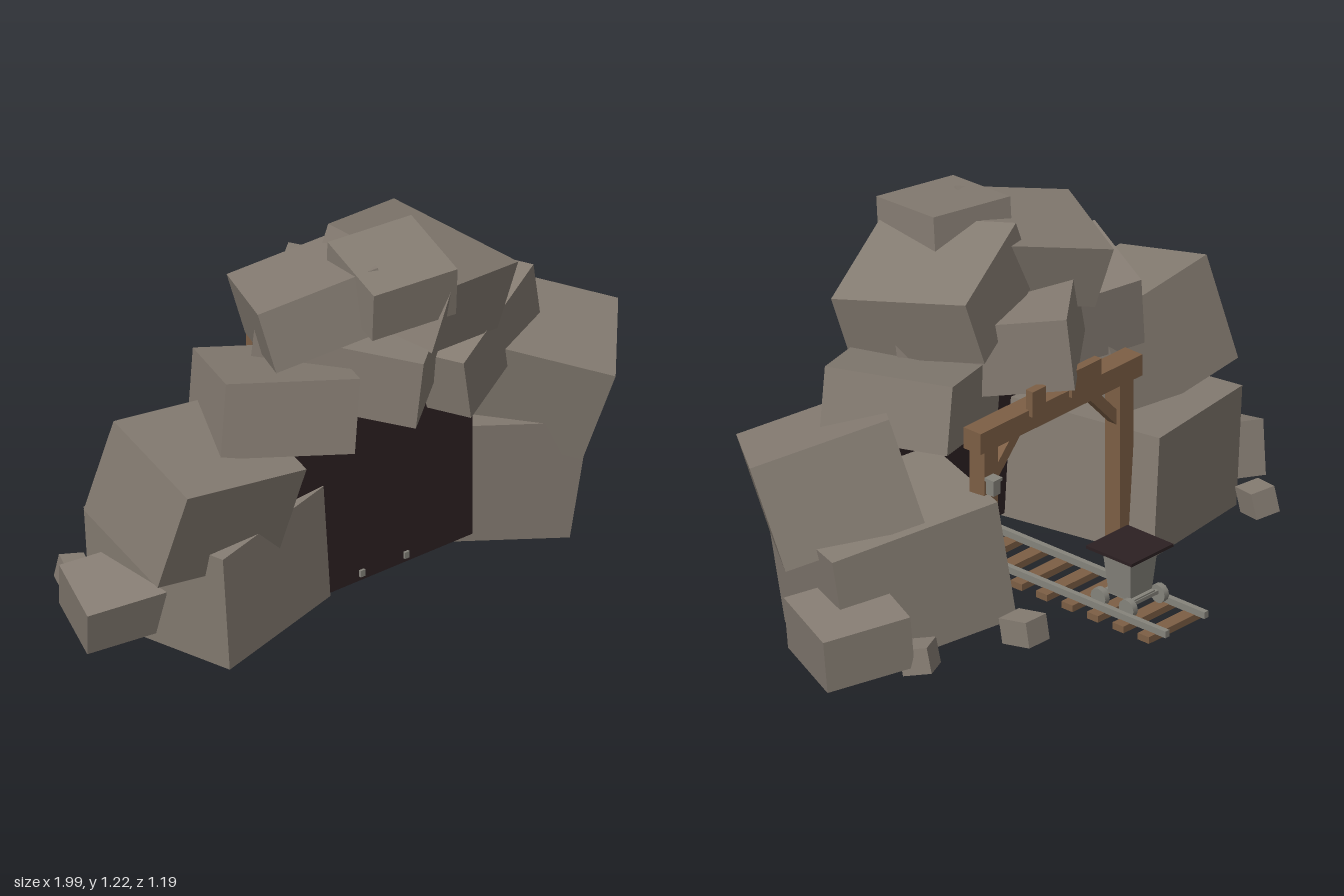
import * as THREE from 'three';

const flat = (name, color) => {
  const m = new THREE.MeshStandardMaterial({ color });
  m.name = name;
  return m;
};

export function createModel() {
  const model = new THREE.Group();
  model.name = 'mineEntrance';
  const stone = flat('stone', 0x857c72);
  const wood = flat('wood', 0x7d5f45);
  const metal = flat('metal', 0x85837b);
  const dark = flat('darkness', 0x2c2022);

  const add = (parent, name, geometry, material, x = 0, y = 0, z = 0) => {
    const mesh = new THREE.Mesh(geometry, material);
    mesh.name = name;
    mesh.position.set(x, y, z);
    parent.add(mesh);
    return mesh;
  };
  const box = (parent, name, material, w, h, d, x, y, z) =>
    add(parent, name, new THREE.BoxGeometry(w, h, d), material, x, y, z);
  const group = (name) => {
    const g = new THREE.Group();
    g.name = name;
    model.add(g);
    return g;
  };

  // Tilted boulder: centre and its three edge vectors
  const rocks = group('rocks');
  const rock = (name, centre, a, b, c) => {
    const [ea, eb, ec] = [a, b, c].map((v) => new THREE.Vector3(...v));
    const mesh = box(rocks, name, stone, ea.length(), eb.length(), ec.length(), ...centre);
    const x = ea.clone().normalize();
    const y = eb.clone().addScaledVector(x, -eb.dot(x)).normalize();
    const z = new THREE.Vector3().crossVectors(x, y);
    mesh.quaternion.setFromRotationMatrix(new THREE.Matrix4().makeBasis(x, y, z));
  };

  // Side walls of the cave
  rock('lowerRightRock', [-0.52, 0.25, 0.14], [0.475, 0.035, -0.1], [-0.02, 0.39, 0], [-0.1, -0.03, -0.52]);
  rock('upperRightRock', [-0.65, 0.555, 0.24], [0.455, -0.06, 0.01], [0.045, 0.33, 0.09], [0.02, 0.1, -0.37]);
  rock('lowerLeftRock', [0.488, 0.25, 0.15], [0.165, 0.015, -0.42], [0.05, 0.395, 0.03], [-0.51, 0.08, -0.21]);
  rock('upperLeftRock', [0.626, 0.54, 0.27], [0.235, 0.065, -0.27], [0.03, 0.32, 0.12], [-0.333, 0.128, -0.26]);

  // Slabs over the opening
  rock('rightShoulderSlab', [-0.362, 0.765, 0.262], [0.385, -0.05, 0.165], [0.025, 0.235, -0.03], [0.126, -0.055, -0.3]);
  rock('leftShoulderSlab', [0.335, 0.74, 0.21], [0.43, 0.1, -0.19], [-0.04, 0.21, 0.015], [-0.16, -0.01, -0.37]);
  rock('roofSlab', [-0.01, 0.835, 0.205], [-0.395, -0.02, 0.314], [0.01, 0.23, 0.025], [0.285, -0.06, 0.431]);
  rock('upperLeftSlab', [0.172, 1.002, 0.27], [-0.36, 0.1, 0.125], [0.075, 0.21, 0.015], [-0.12, 0.075, -0.43]);
  rock('upperRightSlab', [-0.185, 1.03, 0.225], [0.35, 0.095, 0.14], [-0.05, 0.19, -0.05], [0.13, -0.05, -0.31]);
  rock('peakSlab', [-0.01, 1.115, 0.39], [0.28, 0.015, 0.055], [-0.01, 0.17, 0.025], [0.05, 0.045, -0.28]);

  // Loose stones on the ground
  rock('rightBoulder', [-0.825, 0.17, 0.065], [0.24, 0.03, 0.08], [-0.04, 0.16, 0.04], [0.07, 0.07, -0.2]);
  rock('leftBoulder', [0.8, 0.17, 0.035], [-0.12, 0.015, 0.27], [0.02, 0.175, 0], [-0.26, 0.04, -0.11]);
  rock('pebble', [-0.76, 0.11, -0.19], [0.075, -0.01, 0.025], [0.01, 0.08, 0.02], [-0.025, -0.03, 0.1]);
  rock('pebble', [0.337, 0.108, -0.25], [0.09, 0, 0], [0, 0.08, 0.015], [0, -0.018, 0.11]);
  rock('pebble', [0.68, 0.105, -0.14], [0.09, 0.01, -0.045], [0, 0.08, 0.02], [0.04, -0.015, 0.08]);

  // Dark end of the tunnel
  box(model, 'tunnelEnd', dark, 0.69, 0.595, 0.01, -0.005, 0.383, 0.342);

  // Timber frame
  const frame = group('timberFrame');
  box(frame, 'beam', wood, 0.715, 0.07, 0.07, -0.003, 0.675, -0.055);
  for (const s of [-1, 1]) {
    box(frame, 'post', wood, 0.06, 0.56, 0.06, s * 0.3, 0.36, -0.052);
    const brace = box(frame, 'brace', wood, 0.035, 0.2, 0.035, s * 0.225, 0.575, -0.05);
    brace.rotation.z = s * 0.75;
  }
  box(frame, 'wideCleat', wood, 0.13, 0.085, 0.028, -0.1, 0.732, -0.09);
  box(frame, 'narrowCleat', wood, 0.06, 0.085, 0.028, 0.11, 0.732, -0.09);

  // Lantern on the left post
  const lantern = group('lantern');
  box(lantern, 'lanternBody', metal, 0.03, 0.045, 0.03, 0.31, 0.52, -0.1);
  box(lantern, 'lanternCap', metal, 0.04, 0.01, 0.04, 0.31, 0.547, -0.1);

  // Track
  const track = group('track');
  for (const x of [-0.092, 0.08]) {
    box(track, 'rail', metal, 0.018, 0.022, 0.95, x, 0.111, -0.12);
  }
  for (let i = 0; i < 9; i++) {
    box(track, 'sleeper', wood, 0.25, 0.022, 0.045, -0.006, 0.09, -0.533 + i * 0.103);
  }

  // Ore cart: tapered bucket, dark lid and four wheels
  const cart = group('cart');
  const bucket = new THREE.BoxGeometry(0.12, 0.145, 0.115);
  const p = bucket.attributes.position;
  for (let i = 0; i < p.count; i++) {
    if (p.getY(i) < 0) p.setXYZ(i, p.getX(i) * 0.78, p.getY(i), p.getZ(i) * 0.78);
  }
  bucket.computeVertexNormals();
  add(cart, 'bucket', bucket, metal, -0.006, 0.217, -0.365);
  box(cart, 'lid', dark, 0.185, 0.01, 0.185, -0.006, 0.294, -0.363);
  for (const z of [-0.307, -0.421]) {
    for (const x of [-0.075, 0.063]) {
      const wheel = add(cart, 'wheel', new THREE.CylinderGeometry(0.03, 0.03, 0.02, 12), metal, x, 0.132, z);
      wheel.rotation.z = Math.PI / 2;
    }
    box(cart, 'axle', metal, 0.13, 0.012, 0.012, -0.006, 0.14, z);
  }
  box(cart, 'chassis', metal, 0.09, 0.012, 0.12, -0.006, 0.145, -0.364);

  return model;
}
